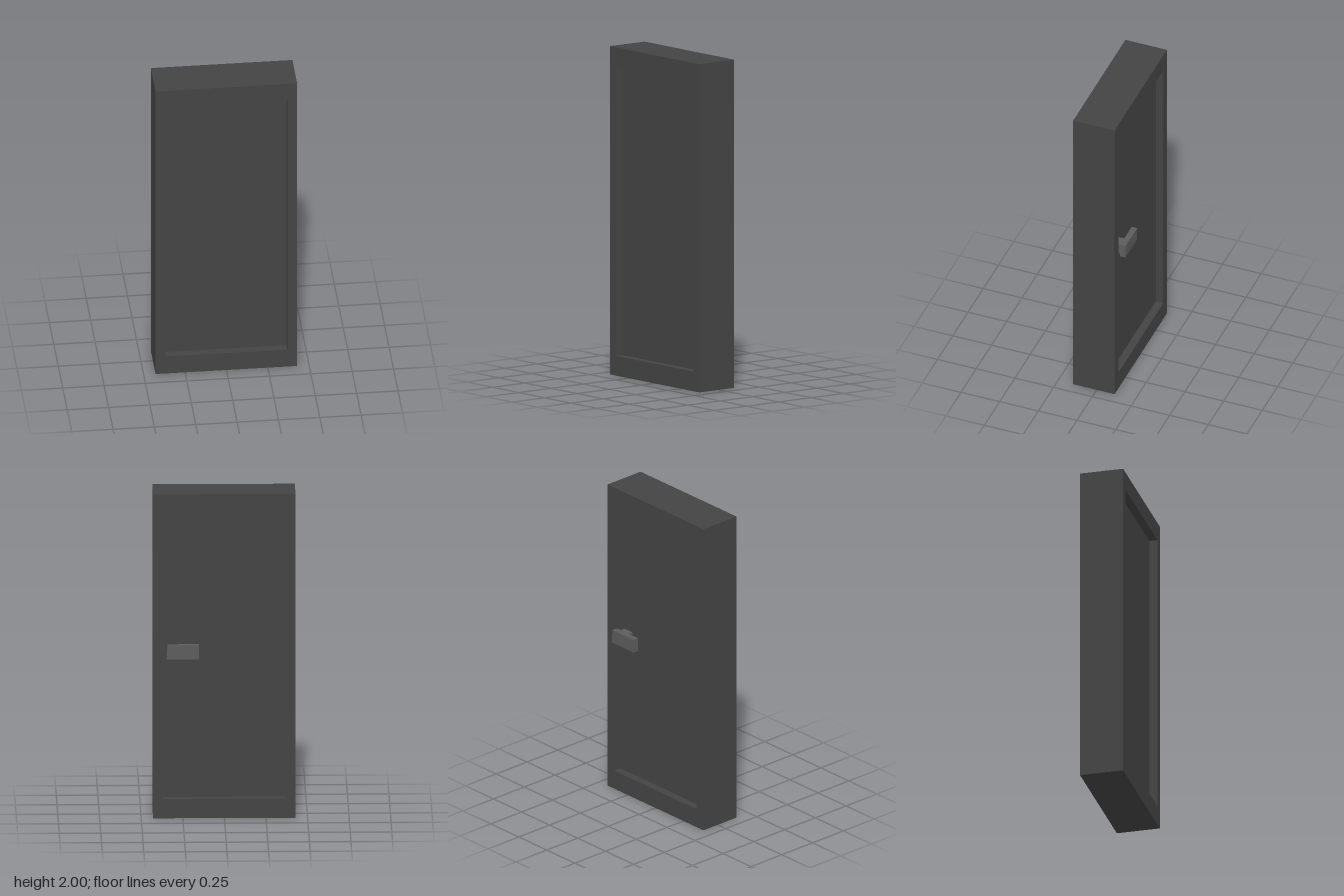
import * as THREE from 'three';

const dark = new THREE.MeshStandardMaterial({ color: 0x444444 });
const metal = new THREE.MeshStandardMaterial({ color: 0x5c5c5c });

function add(group, name, geometry, material, x = 0, y = 0, z = 0) {
  const mesh = new THREE.Mesh(geometry, material);
  mesh.name = name;
  mesh.position.set(x, y, z);
  group.add(mesh);
}

const polygon = (points) => points.map(([x, y]) => new THREE.Vector2(x, y));
const rectangle = (x, y0, y1) => polygon([[-x, y0], [x, y0], [x, y1], [-x, y1]]);
const extrude = (shape, depth) => new THREE.ExtrudeGeometry(shape, { depth, bevelEnabled: false });

export function createModel() {
  const door = new THREE.Group();
  door.name = 'door';

  // Deep rectangular surround with an opening
  const outline = new THREE.Shape(rectangle(0.428, 0, 2));
  outline.holes.push(new THREE.Path(rectangle(0.368, 0.12, 1.885)));
  add(door, 'frame', extrude(outline, 0.268), dark, 0, 0, -0.116);

  // Leaf, recessed on both faces
  add(door, 'panel', new THREE.BoxGeometry(0.736, 1.765, 0.17), dark, 0, 1.0025, 0.017);

  // Back handle: short stem carrying a flat bar with a slightly slanted end
  const handle = new THREE.Group();
  handle.name = 'handle';
  add(handle, 'handleStem', new THREE.BoxGeometry(0.07, 0.066, 0.055), metal, 0.295, 1.028, -0.095);
  const bar = new THREE.Shape(polygon([[0.154, 0.99], [0.348, 0.99], [0.343, 1.075], [0.154, 1.075]]));
  add(handle, 'handleBar', extrude(bar, 0.035), metal, 0, 0, -0.154);
  door.add(handle);

  return door;
}
